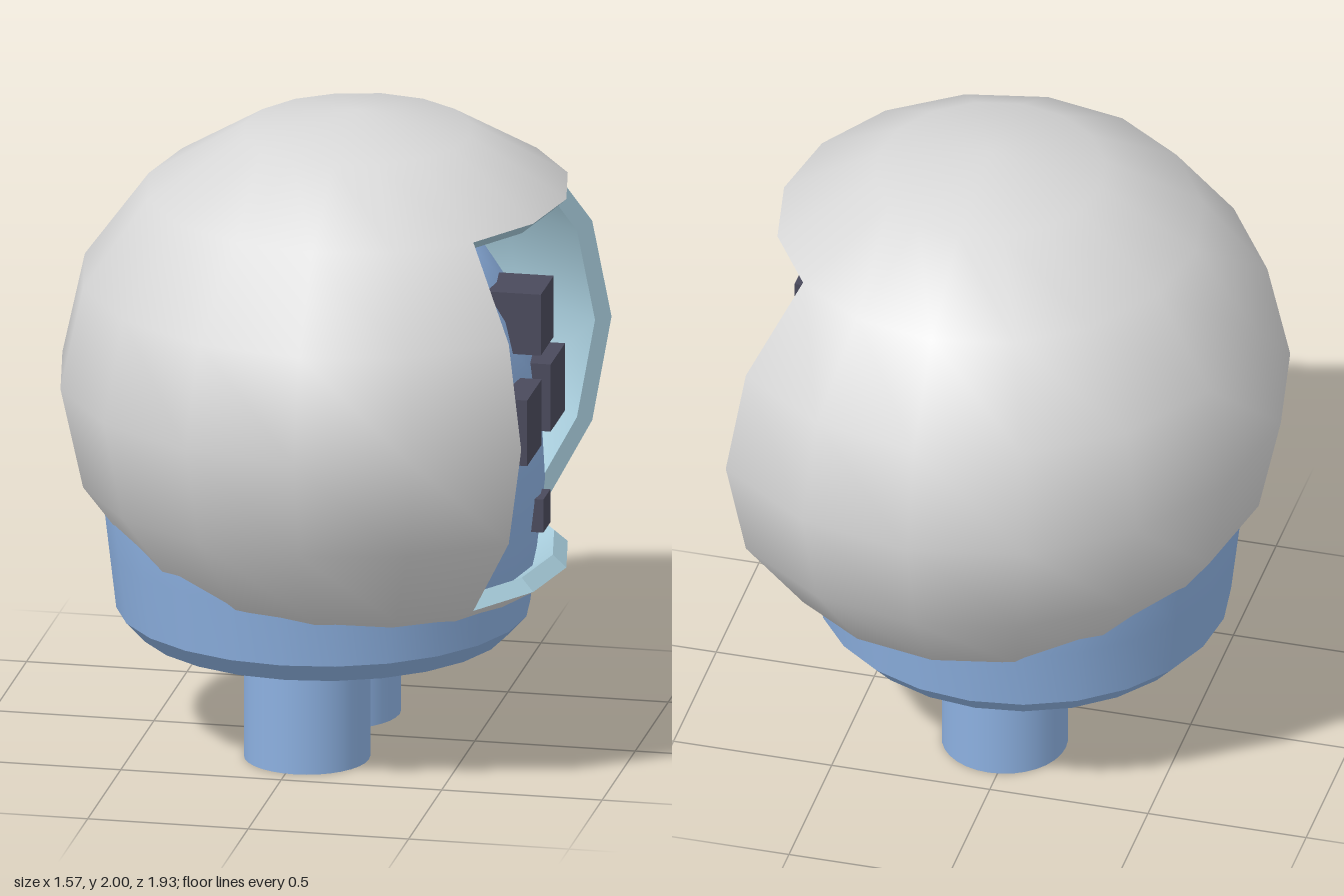
import * as THREE from 'three';
import { toCreasedNormals } from 'three/addons/utils/BufferGeometryUtils.js';

const paint = (name, color, side = THREE.FrontSide) => {
  const m = new THREE.MeshStandardMaterial({ color, side });
  m.name = name;
  return m;
};

// Helmet ellipsoid: centre, outer radii and the scale of its inner wall
const CENTRE = [0.135, 1.165, 0];
const RADII = [0.92, 0.835, 0.965];
const INNER = 0.935;

// Ellipsoid with a window of 90 by 90 degrees towards +x
function openShell(scale, inward) {
  const g = new THREE.SphereGeometry(1, 16, 8);
  const p = g.attributes.position;
  const src = g.index.array;
  const kept = [];
  for (let i = 0; i < src.length; i += 3) {
    const [a, b, c] = [src[i], src[i + 1], src[i + 2]];
    const x = (p.getX(a) + p.getX(b) + p.getX(c)) / 3;
    const y = (p.getY(a) + p.getY(b) + p.getY(c)) / 3;
    const z = (p.getZ(a) + p.getZ(b) + p.getZ(c)) / 3;
    if (x > Math.abs(z) && Math.abs(y) < Math.SQRT1_2) continue;
    kept.push(a, ...(inward ? [c, b] : [b, c]));
  }
  g.setIndex(kept);
  g.scale(...RADII.map((r) => r * scale));
  if (inward) {
    const n = g.attributes.normal;
    for (let i = 0; i < n.count; i++) n.setXYZ(i, -n.getX(i), -n.getY(i), -n.getZ(i));
  }
  return g;
}

// Flat strip joining the outer and inner walls around the window
function windowRim() {
  const loop = [];
  const steps = [-45, -22.5, 0, 22.5];
  for (const s of steps) loop.push([45, s]);
  for (const s of steps) loop.push([-s, 45]);
  for (const s of steps) loop.push([-45, -s]);
  for (const s of steps) loop.push([s, -45]);
  const at = ([lat, lon], scale) => {
    const u = THREE.MathUtils.degToRad(lat);
    const v = THREE.MathUtils.degToRad(lon);
    return [
      Math.cos(u) * Math.cos(v) * RADII[0] * scale,
      Math.sin(u) * RADII[1] * scale,
      Math.cos(u) * Math.sin(v) * RADII[2] * scale,
    ];
  };
  const verts = [];
  loop.forEach((q, i) => {
    const next = loop[(i + 1) % loop.length];
    const [o1, o2, i1, i2] = [at(q, 1), at(next, 1), at(q, INNER), at(next, INNER)];
    verts.push(...o1, ...o2, ...i1, ...o2, ...i2, ...i1);
  });
  const g = new THREE.BufferGeometry();
  g.setAttribute('position', new THREE.Float32BufferAttribute(verts, 3));
  g.computeVertexNormals();
  return g;
}

export function createModel() {
  const model = new THREE.Group();
  model.name = 'helmetedFigure';
  const blue = paint('bodyBlue', 0x8cb0e0);
  const grey = paint('helmetGrey', 0xd8d8d8);
  const lining = paint('liningPaleBlue', 0xa8cddc);
  const dark = paint('faceDark', 0x4a4a5c);

  const add = (name, geometry, material, x, y, z) => {
    const mesh = new THREE.Mesh(geometry, material);
    mesh.name = name;
    mesh.position.set(x, y, z);
    model.add(mesh);
  };

  // Helmet shell
  add('helmetOuter', openShell(1, false), grey, ...CENTRE);
  add('helmetLining', openShell(INNER, true), lining, ...CENTRE);
  add('helmetRim', windowRim(), lining, ...CENTRE);

  // Rounded body with a bevelled base
  const profile = [
    [0, 0.31], [0.573, 0.345], [0.633, 0.41], [0.655, 0.6], [0.678, 0.8], [0.667, 1.0],
    [0.642, 1.2], [0.6, 1.38], [0.48, 1.57], [0.26, 1.72], [0, 1.77],
  ].map(([r, y]) => new THREE.Vector2(r, y));
  add('body', toCreasedNormals(new THREE.LatheGeometry(profile, 24), 0.5), blue, 0.028, 0, 0);

  // Legs
  for (const [name, z] of [['frontLeg', 0.245], ['backLeg', -0.22]]) {
    add(name, new THREE.CylinderGeometry(0.193, 0.193, 0.4, 32), blue, 0.028, 0.2, z);
  }

  // Square blocks on the face, sunk into the body: y, z, height, width
  const blocks = [
    ['topBlock', 1.377, -0.002, 0.195, 0.195],
    ['frontEyeBlock', 1.095, 0.192, 0.21, 0.218],
    ['backEyeBlock', 1.097, -0.162, 0.215, 0.218],
    ['mouthBlock', 0.753, 0.004, 0.106, 0.106],
  ];
  for (const [name, y, z, h, w] of blocks) {
    add(name, new THREE.BoxGeometry(0.225, h, w), dark, 0.613, y, z);
  }

  return model;
}
